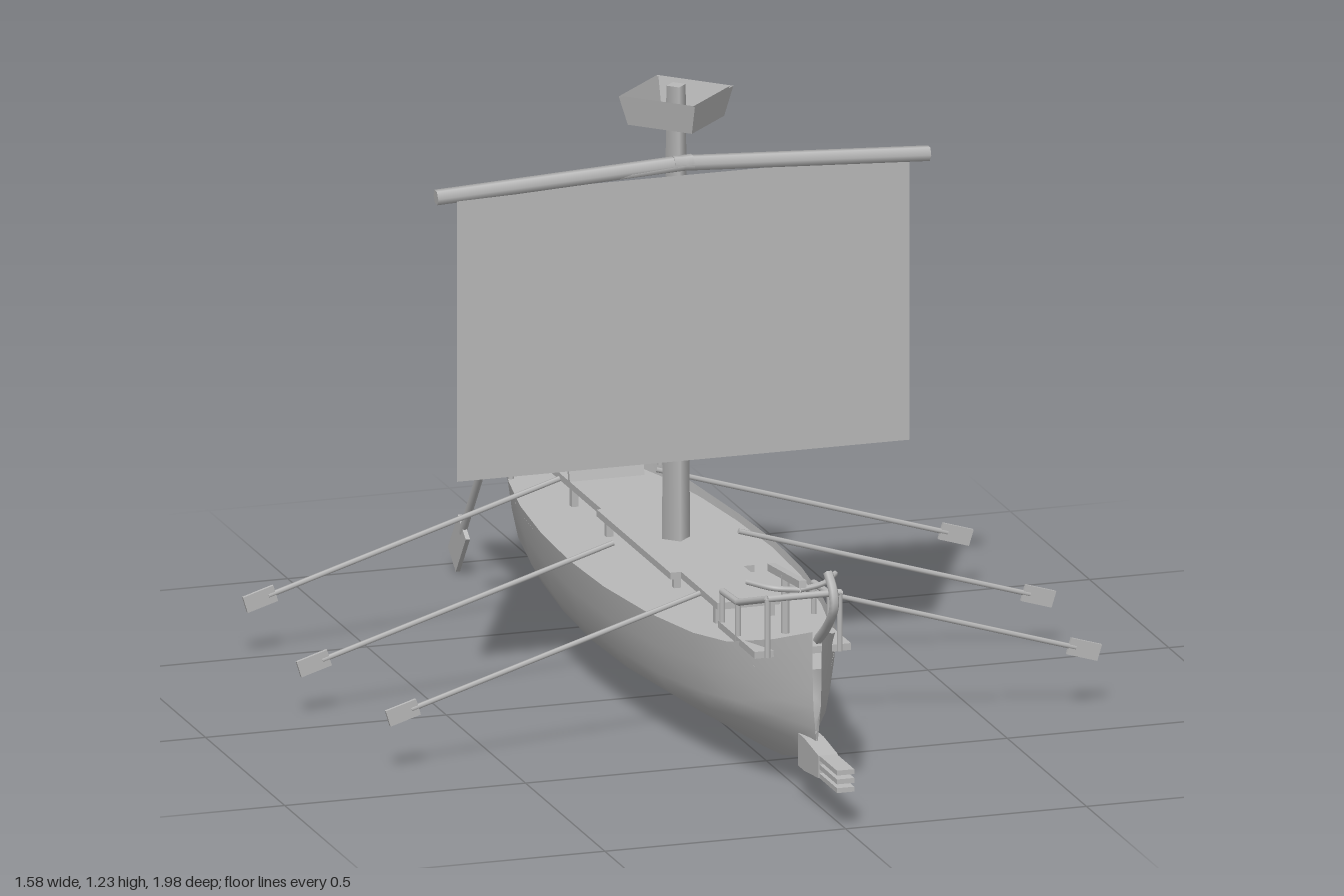
import * as THREE from 'three';

const V = (x, y, z) => new THREE.Vector3(x, y, z);
const grey = new THREE.MeshStandardMaterial({ color: 0xb8b8b8, side: THREE.DoubleSide });
grey.name = 'plain grey';

// Hull stations: z, half beam, sheer height, keel height
const STATIONS = [
  [0.82, 0.01, 0.36, 0.12], [0.73, 0.062, 0.325, 0.078], [0.6, 0.113, 0.288, 0.045],
  [0.48, 0.146, 0.276, 0.03], [0.3, 0.182, 0.271, 0.015], [0.1, 0.206, 0.27, 0.007],
  [-0.1, 0.214, 0.27, 0.005], [-0.3, 0.206, 0.27, 0.01], [-0.48, 0.189, 0.272, 0.024],
  [-0.63, 0.165, 0.281, 0.042], [-0.76, 0.13, 0.312, 0.058], [-0.87, 0.08, 0.385, 0.075],
  [-0.955, 0.006, 0.465, 0.11],
];
// Half cross-section as fractions of beam and depth, keel to sheer
const SECTION = [[0, 0], [0.4, 0.17], [0.76, 0.35], [0.87, 0.5], [0.95, 0.75], [1, 1]];

function sectionWidth(t) {
  for (let i = 1; i < SECTION.length; i++) {
    const [x0, y0] = SECTION[i - 1], [x1, y1] = SECTION[i];
    if (t <= y1) return x0 + (x1 - x0) * (t - y0) / (y1 - y0);
  }
  return 1;
}

// Skin over rows of points that all have the same length
function loft(rows) {
  const n = rows[0].length, index = [];
  for (let i = 0; i < rows.length - 1; i++) {
    for (let j = 0; j < n - 1; j++) {
      const a = i * n + j, b = a + n;
      index.push(a, a + 1, b, a + 1, b + 1, b);
    }
  }
  const g = new THREE.BufferGeometry().setFromPoints(rows.flat());
  g.setIndex(index);
  g.computeVertexNormals();
  return g;
}

export function createModel() {
  const model = new THREE.Group();
  model.name = 'ship';

  function add(name, geometry, parent = model) {
    const m = new THREE.Mesh(geometry, grey);
    m.name = name;
    parent.add(m);
    return m;
  }
  function box(name, w, h, d, x, y, z, parent) {
    const m = add(name, new THREE.BoxGeometry(w, h, d), parent);
    m.position.set(x, y, z);
    return m;
  }
  // Straight round bar between two points
  function bar(name, a, b, r0, r1 = r0, sides = 8, parent = model) {
    const d = b.clone().sub(a);
    const m = add(name, new THREE.CylinderGeometry(r1, r0, d.length(), sides), parent);
    m.position.copy(a).addScaledVector(d, 0.5);
    m.quaternion.setFromUnitVectors(V(0, 1, 0), d.normalize());
    return m;
  }
  function tube(name, points, r) {
    return add(name, new THREE.TubeGeometry(new THREE.CatmullRomCurve3(points), 20, r, 6));
  }

  // Hull sides
  for (const s of [1, -1]) {
    const rows = STATIONS.map(([z, b, top, keel]) =>
      SECTION.map(([x, y]) => V(s * x * b, keel + y * (top - keel), z)));
    if (s < 0) rows.forEach((r) => r.reverse());
    add(s > 0 ? 'leftHullSide' : 'rightHullSide', loft(rows));
  }

  // Deck
  const deckY = 0.255;
  add('deck', loft(STATIONS.slice(1, -1).map(([z, b, top, keel]) => {
    const x = b * sectionWidth((deckY - keel) / (top - keel));
    return [V(-x, deckY, z), V(x, deckY, z)];
  })));

  // Raised gangway in three widths, on short posts
  for (const [w, z0, z1] of [[0.13, 0.39, 0.16], [0.175, 0.16, -0.305], [0.155, -0.305, -0.645]]) {
    box('gangway', w, 0.014, z0 - z1, 0, 0.297, (z0 + z1) / 2);
  }
  for (const s of [1, -1]) {
    for (const [x, z] of [[0.055, 0.36], [0.055, 0.1], [0.07, -0.28], [0.07, -0.5]]) {
      box('gangwayPost', 0.014, 0.045, 0.014, s * x, 0.272, z);
    }
  }
  box('benchBack', 0.155, 0.065, 0.01, 0, 0.327, -0.515).rotation.x = -0.25;

  // Mast with square lookout basket
  bar('mast', V(0, 0.25, -0.07), V(0, 1.235, -0.07), 0.03, 0.02, 4);
  for (const inset of [0, 0.008]) {
    const basket = add('lookoutBasket',
      new THREE.CylinderGeometry(0.119 - inset, 0.1 - inset, 0.06, 4, 1, true).toNonIndexed());
    basket.geometry.computeVertexNormals();
    basket.position.set(0, 1.192, -0.07);
  }

  // Yard and sail
  for (const s of [1, -1]) {
    bar('yardArm', V(s * 0.51, 1.06, -0.03 + s * 0.005), V(-s * 0.02, 1.087, -0.028), 0.016, 0.016, 6);
    bar('yardSplice', V(s * 0.02, 1.085, -0.025), V(-s * 0.27, 1.062, -0.028), 0.013, 0.005, 6);
  }
  const sail = add('sail', new THREE.PlaneGeometry(0.94, 0.587));
  sail.position.set(0, 0.768, -0.025);

  // Rowing oars
  for (const s of [1, -1]) {
    for (const [z, x0, x1] of [[0.355, 0.09, 0.74], [-0.07, 0.13, 0.785], [-0.5, 0.1, 0.755]]) {
      const at = (x) => V(s * x, 0.345 - 0.306 * x, z);
      bar('oarShaft', at(x0), at(x1 - 0.05), 0.0055, 0.0055, 6);
      box('oarBlade', 0.066, 0.034, 0.007, ...at(x1 - 0.033).toArray()).rotation.z = -s * 0.297;
    }
  }

  // Ram with three prongs
  const ram = new THREE.Shape([[0.76, 0.07], [0.8, 0.07], [0.89, 0.08], [0.89, 0.126], [0.8, 0.137], [0.76, 0.137]]
    .map(([z, y]) => new THREE.Vector2(z, y)));
  const ramBase = add('ramBase', new THREE.ExtrudeGeometry(ram, { depth: 0.04, bevelEnabled: false }));
  ramBase.rotation.y = -Math.PI / 2;
  ramBase.position.x = 0.02;
  for (const y of [0.085, 0.103, 0.121]) box('ramProng', 0.036, 0.01, 0.12, 0, y, 0.94);

  // Curved ornaments at both ends
  tube('bowOrnament', [V(0, 0.345, 0.825), V(0, 0.39, 0.885), V(0, 0.44, 0.927), V(0, 0.47, 0.922), V(0, 0.5, 0.89)], 0.01);
  tube('sternOrnament', [V(0, 0.45, -0.95), V(0, 0.5, -0.945), V(0, 0.53, -0.915), V(0, 0.533, -0.88), V(0, 0.515, -0.855)], 0.011);

  // Bow platform with rails
  box('bowPlatform', 0.2, 0.014, 0.23, 0, 0.295, 0.615);
  for (const s of [1, -1]) {
    const corners = [V(s * 0.095, 0.365, 0.51), V(s * 0.095, 0.37, 0.61), V(s * 0.075, 0.41, 0.735)];
    corners.forEach((p, i) => {
      bar('bowRailPost', V(p.x, 0.29, p.z), p, 0.006);
      if (i) bar('bowRail', corners[i - 1], p, 0.007);
    });
    // Bolt thrower arms
    tube('throwerArm', [V(0, 0.415, 0.71), V(s * 0.05, 0.42, 0.7), V(s * 0.092, 0.425, 0.655)], 0.006);
  }
  bar('bowRail', V(-0.075, 0.41, 0.735), V(0.075, 0.41, 0.735), 0.007);
  box('throwerStock', 0.016, 0.015, 0.2, 0, 0.422, 0.63).rotation.x = -0.1;
  bar('throwerStand', V(0, 0.29, 0.62), V(0, 0.42, 0.62), 0.009);

  // Stern platform, rails and steering oars
  box('sternPlatform', 0.24, 0.014, 0.215, 0, 0.303, -0.767);
  for (const s of [1, -1]) {
    const top = [V(s * 0.155, 0.35, -0.64), V(s * 0.135, 0.39, -0.74), V(s * 0.09, 0.455, -0.87)];
    top.forEach((p, i) => {
      bar('sternRailPost', V(p.x, 0.28 + i * 0.03, p.z), p, 0.006);
      if (i) bar('sternRail', top[i - 1], p, 0.007);
    });
    box('steeringBracket', 0.06, 0.02, 0.23, s * 0.145, 0.315, -0.755);
    bar('steeringPost', V(s * 0.165, 0.28, -0.66), V(s * 0.165, 0.43, -0.66), 0.006);

    const oar = new THREE.Group();
    oar.name = s > 0 ? 'leftSteeringOar' : 'rightSteeringOar';
    oar.position.set(s * 0.17, 0.425, -0.655);
    oar.rotation.x = 0.645;
    bar('steeringShaft', V(0, 0, 0), V(0, -0.41, 0), 0.008, 0.008, 6, oar);
    box('steeringBlade', 0.009, 0.105, 0.062, 0, -0.445, 0, oar);
    model.add(oar);
  }
  bar('steeringCrossbar', V(-0.17, 0.428, -0.66), V(0.17, 0.428, -0.66), 0.006);

  return model;
}
